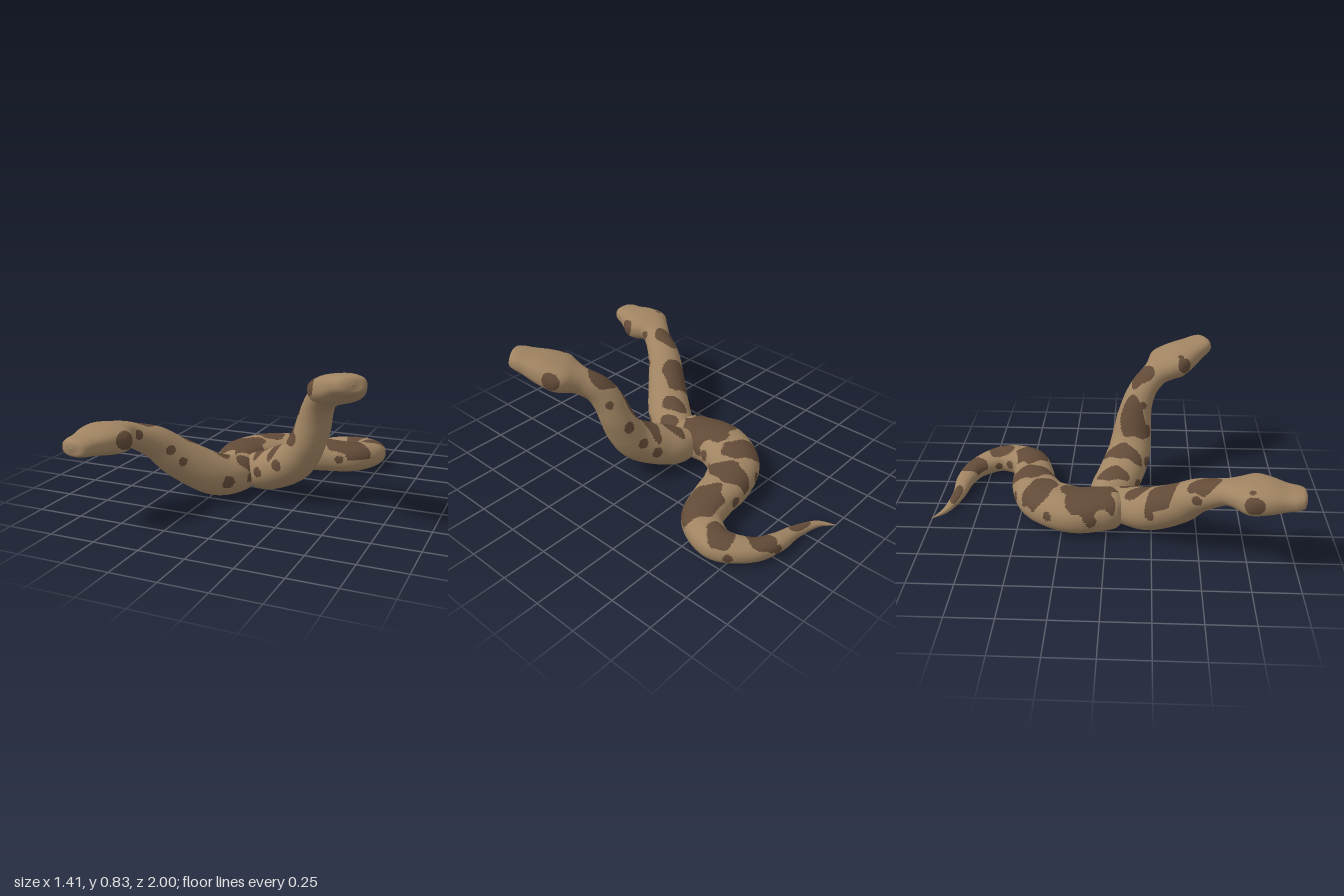
import * as THREE from 'three';

const skin = new THREE.MeshStandardMaterial({ color: 0xa08462 });
skin.name = 'tan skin';
const blotch = new THREE.MeshStandardMaterial({ color: 0x624a37 });
blotch.name = 'brown blotches';

const AROUND = 64;

// Superellipse helper: power below 1 makes the section boxier
const boxy = (v, p) => Math.sign(v) * Math.abs(v) ** p;

// Sweep of oval sections [x, y, z, halfWidth, halfHeight].
// patches: [x, z, rx, rz, degrees] on the back; spots: [section index, angle, radius] on the sides.
function serpent(name, sections, rings, patches, spots, power) {
  const path = new THREE.CatmullRomCurve3(
    sections.map(s => new THREE.Vector3(s[0], s[1], s[2])), false, 'catmullrom', 0.5);
  const size = new THREE.CatmullRomCurve3(
    sections.map(s => new THREE.Vector3(s[3], s[4], 0)), false, 'catmullrom', 0.5);
  const last = sections.length - 1;
  const up = new THREE.Vector3(0, 1, 0);

  const surface = (t, angle) => {
    const c = path.getPoint(t), r = size.getPoint(t), dir = path.getTangent(t);
    const side = new THREE.Vector3().crossVectors(up, dir).normalize();
    const back = new THREE.Vector3().crossVectors(dir, side);
    const p = power(t * last);
    return c.addScaledVector(side, boxy(Math.cos(angle), p) * Math.max(r.x, 0.001))
      .addScaledVector(back, boxy(Math.sin(angle), p) * Math.max(r.y, 0.001));
  };

  const points = [];
  for (let i = 0; i <= rings; i++)
    for (let j = 0; j < AROUND; j++) points.push(surface(i / rings, j / AROUND * Math.PI * 2));

  const spotCentres = spots.map(([u, a, r]) =>
    [surface(u / last, THREE.MathUtils.degToRad(a)), r]);

  // Patches have a slightly wavy outline
  const isDark = (p, angle) => {
    const wave = 1 + 0.1 * Math.sin(p.x * 41 + p.z * 23) + 0.08 * Math.sin(p.z * 57 - p.x * 19);
    if (Math.sin(angle) > 0.05 && patches.some(([x, z, rx, rz, deg]) => {
      const a = THREE.MathUtils.degToRad(deg), dx = p.x - x, dz = p.z - z;
      const du = dx * Math.cos(a) + dz * Math.sin(a), dv = dz * Math.cos(a) - dx * Math.sin(a);
      return Math.hypot(du / rx, dv / rz) < wave;
    })) return true;
    return spotCentres.some(([c, r]) => c.distanceTo(p) < r * wave);
  };

  const light = [], dark = [], mid = new THREE.Vector3();
  for (let i = 0; i < rings; i++)
    for (let j = 0; j < AROUND; j++) {
      const k = (j + 1) % AROUND;
      const a = i * AROUND + j, b = i * AROUND + k, c = a + AROUND, d = b + AROUND;
      for (const tri of [[a, b, c], [b, d, c]]) {
        mid.set(0, 0, 0);
        tri.forEach(v => mid.addScaledVector(points[v], 1 / 3));
        (isDark(mid, (j + 0.5) / AROUND * Math.PI * 2) ? dark : light).push(...tri);
      }
    }

  const geometry = new THREE.BufferGeometry().setFromPoints(points);
  geometry.setIndex(light.concat(dark));
  geometry.addGroup(0, light.length, 0);
  geometry.addGroup(light.length, dark.length, 1);
  geometry.computeVertexNormals();
  const mesh = new THREE.Mesh(geometry, [skin, blotch]);
  mesh.name = name;
  return mesh;
}

export function createModel() {
  const model = new THREE.Group();
  model.name = 'twoHeadedSnake';

  // Body and tail lying on the ground: x, z, half width, half height
  const body = [
    [-0.165, -1.0, 0.002, 0.002], [-0.09, -0.93, 0.02, 0.016], [0.05, -0.888, 0.036, 0.03],
    [0.2, -0.872, 0.053, 0.046], [0.335, -0.815, 0.068, 0.057], [0.427, -0.67, 0.092, 0.072],
    [0.355, -0.51, 0.108, 0.085], [0.2, -0.455, 0.117, 0.094], [0.05, -0.43, 0.132, 0.102],
    [-0.11, -0.35, 0.147, 0.107], [-0.2, -0.19, 0.156, 0.109], [-0.19, -0.05, 0.145, 0.109],
    [-0.165, 0.04, 0.118, 0.107], [-0.155, 0.08, 0.07, 0.1], [-0.152, 0.09, 0.002, 0.1],
  ].map(([x, z, w, h], i) => [x, i > 12 ? 0.108 : h + 0.003, z, w, i === 14 ? 0.002 : i === 13 ? 0.075 : h]);
  model.add(serpent('bodyAndTail', body, 300, [
    [-0.2, -0.1, 0.145, 0.15, 0], [-0.15, -0.37, 0.12, 0.085, 25], [0.055, -0.445, 0.075, 0.125, 0],
    [0.315, -0.475, 0.14, 0.1, -15], [0.425, -0.69, 0.08, 0.08, 0], [0.285, -0.84, 0.065, 0.075, 0],
    [0.02, -0.895, 0.075, 0.028, 10],
  ], [
    [3.2, 5, 0.025], [4.6, 0, 0.025], [4.6, 180, 0.025], [5.6, 175, 0.03], [6.5, 5, 0.03],
    [7.3, 175, 0.03], [8.4, 5, 0.035], [8.5, 175, 0.03], [9.6, 10, 0.03], [9.6, 172, 0.03],
    [10.5, 5, 0.025], [10.6, 175, 0.03], [11.2, 8, 0.025],
  ], () => 0.9));

  // Right neck and head, reaching forward
  const rightNeck = [
    [-0.15, 0.112, -0.03, 0.09, 0.09], [-0.145, 0.112, 0.1, 0.115, 0.105],
    [-0.225, 0.145, 0.24, 0.128, 0.117], [-0.355, 0.265, 0.385, 0.112, 0.108],
    [-0.435, 0.365, 0.48, 0.098, 0.088], [-0.5, 0.43, 0.595, 0.083, 0.067],
    [-0.53, 0.452, 0.655, 0.1, 0.064], [-0.552, 0.455, 0.74, 0.149, 0.074],
    [-0.57, 0.458, 0.82, 0.128, 0.071], [-0.582, 0.458, 0.9, 0.098, 0.055],
    [-0.59, 0.46, 0.96, 0.083, 0.047], [-0.594, 0.462, 0.99, 0.06, 0.036],
    [-0.595, 0.462, 1.0, 0.002, 0.002],
  ];
  const headPower = start => u => 1 - 0.2 * THREE.MathUtils.smoothstep(u, start, start + 2);
  model.add(serpent('rightNeckAndHead', rightNeck, 260, [
    [-0.2, 0.18, 0.05, 0.09, -25], [-0.09, 0.12, 0.045, 0.065, 10], [-0.355, 0.3, 0.075, 0.1, 35],
    [-0.485, 0.515, 0.052, 0.09, 20], [-0.645, 0.725, 0.014, 0.016, 0],
  ], [
    [1.1, 0, 0.025], [1.8, -5, 0.035], [2.5, 180, 0.03], [3.1, 0, 0.025], [3.7, 5, 0.03],
    [4.3, 175, 0.025], [5.2, 15, 0.025], [7.3, 8, 0.05], [7.3, 172, 0.045],
  ], headPower(5)));

  // Left neck and head, raised higher
  const leftNeck = [
    [-0.13, 0.11, -0.02, 0.08, 0.08], [-0.02, 0.122, 0.015, 0.12, 0.108],
    [0.09, 0.165, 0.065, 0.13, 0.115], [0.2, 0.23, 0.107, 0.128, 0.112],
    [0.268, 0.315, 0.127, 0.118, 0.1], [0.315, 0.425, 0.14, 0.105, 0.092],
    [0.347, 0.53, 0.163, 0.09, 0.084], [0.385, 0.61, 0.202, 0.082, 0.076],
    [0.44, 0.66, 0.258, 0.085, 0.07], [0.475, 0.687, 0.3, 0.118, 0.071],
    [0.507, 0.71, 0.342, 0.146, 0.075], [0.555, 0.738, 0.415, 0.128, 0.072],
    [0.6, 0.765, 0.485, 0.1, 0.058], [0.632, 0.783, 0.535, 0.085, 0.049],
    [0.648, 0.79, 0.56, 0.06, 0.036], [0.654, 0.792, 0.568, 0.002, 0.002],
  ];
  model.add(serpent('leftNeckAndHead', leftNeck, 260, [
    [-0.015, 0.02, 0.045, 0.09, 0], [0.12, 0.075, 0.045, 0.11, 15], [0.235, 0.125, 0.052, 0.08, 25],
    [0.375, 0.185, 0.075, 0.058, 35], [0.43, 0.41, 0.013, 0.016, 0],
  ], [
    [1.8, 178, 0.033], [2.9, 175, 0.035], [2.4, 5, 0.03], [3.5, 10, 0.03], [4.5, 150, 0.035],
    [4.8, 10, 0.03], [5.9, 150, 0.022], [6.2, 15, 0.025], [10.3, 8, 0.05], [10.3, 172, 0.045],
  ], headPower(8)));

  return model;
}
